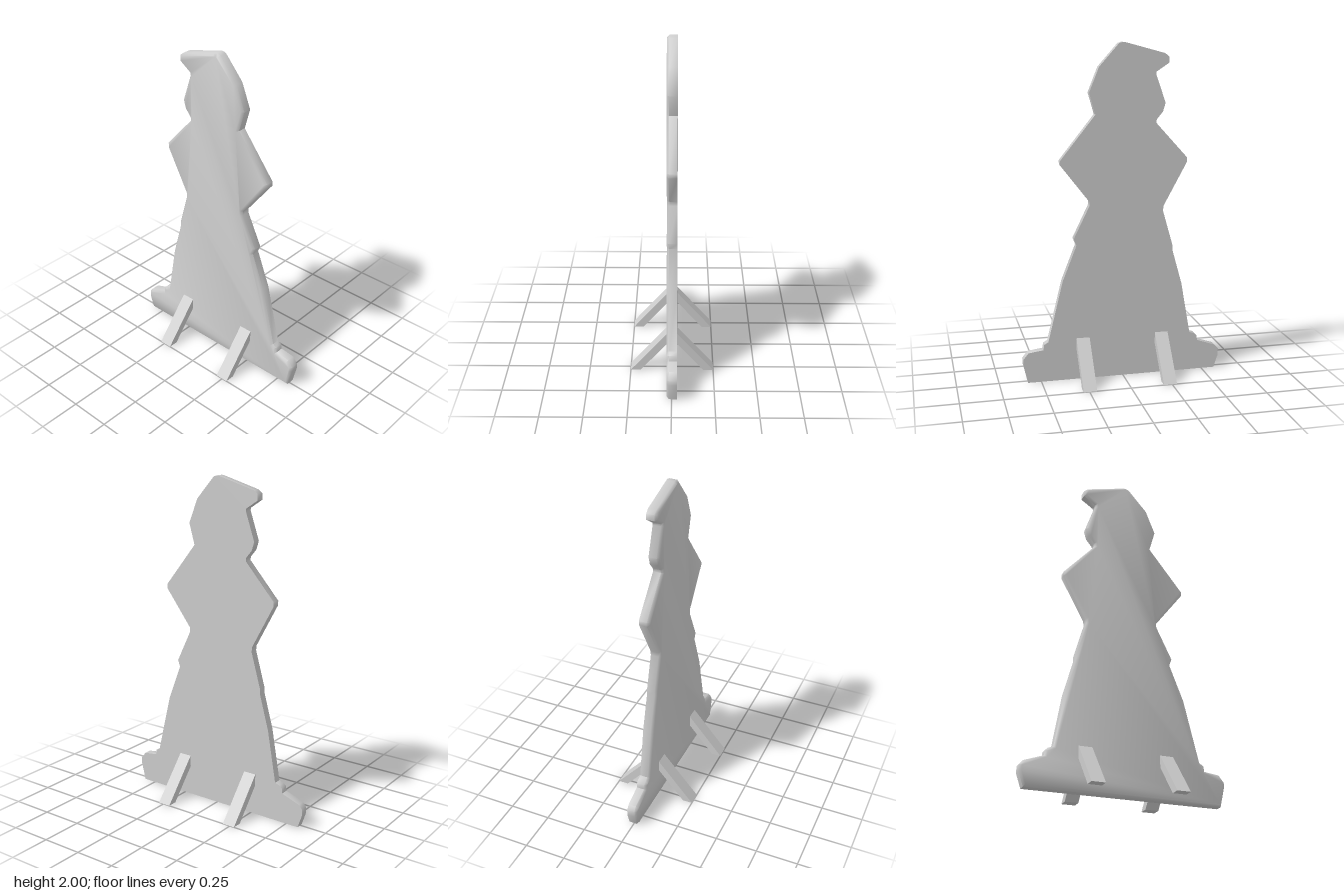
import * as THREE from 'three';
import { toCreasedNormals } from 'three/addons/utils/BufferGeometryUtils.js';

const shapeFrom = (pts) => new THREE.Shape(pts.map(([x, y]) => new THREE.Vector2(x, y)));

// Silhouette, up the right-hand side of the figure and down its left
const outline = [
  [-0.58, 0], [-0.607, 0.08], [-0.607, 0.12], [-0.585, 0.145], [-0.47, 0.185],
  [-0.467, 0.215], [-0.45, 0.23], [-0.42, 0.24], [-0.365, 0.555], [-0.305, 0.77],
  [-0.305, 0.8], [-0.245, 1.01], [-0.248, 1.04], [-0.39, 1.3], [-0.39, 1.325],
  [-0.2, 1.535], [-0.203, 1.555], [-0.24, 1.6], [-0.255, 1.65], [-0.198, 1.815],
  [-0.2, 1.83], [-0.275, 1.88], [-0.275, 1.915], [-0.25, 1.935], [-0.02, 1.997],
  [0, 2], [0.022, 1.993], [0.14, 1.86], [0.198, 1.715], [0.162, 1.59],
  [0.37, 1.33], [0.37, 1.305], [0.2, 1.085], [0.2, 1.06], [0.295, 0.865],
  [0.28, 0.825], [0.365, 0.61], [0.455, 0.245], [0.48, 0.23], [0.485, 0.197],
  [0.575, 0.185], [0.607, 0.145], [0.607, 0.115], [0.58, 0],
];

const BACK = -0.031, FRONT = 0.03, BEVEL = 0.014;

// Flat cut-out board with a bevelled front edge and a square back edge
function boardGeometry() {
  const geo = new THREE.ExtrudeGeometry(shapeFrom(outline), {
    depth: FRONT - BACK - BEVEL,
    bevelEnabled: true,
    bevelSegments: 1,
    bevelThickness: BEVEL,
    bevelSize: BEVEL,
    bevelOffset: -BEVEL,
  });
  const pos = geo.attributes.position;
  for (let i = 0; i < pos.count; i++) pos.setZ(i, Math.max(pos.getZ(i), 0) + BACK);
  geo.deleteAttribute('uv');
  geo.computeVertexNormals();
  return toCreasedNormals(geo, 0.9);
}

// Slanted strut, profile drawn in the z-y plane
function strutGeometry(width) {
  const profile = shapeFrom([[0.25, 0], [0.025, 0.263], [0.025, 0.193], [0.19, 0]]);
  const geo = new THREE.ExtrudeGeometry(profile, { depth: width, bevelEnabled: false });
  return geo.rotateY(-Math.PI / 2).translate(width / 2, 0, 0);
}

export function createModel() {
  const model = new THREE.Group();
  model.name = 'standingFigure';
  const grey = new THREE.MeshStandardMaterial({ color: 0xcccccc });
  grey.name = 'light grey';

  const board = new THREE.Mesh(boardGeometry(), grey);
  board.name = 'figureBoard';
  model.add(board);

  // Four struts: two in front, two behind
  const strut = strutGeometry(0.08);
  for (const [side, x] of [['right', -0.24], ['left', 0.245]]) {
    for (const end of ['Front', 'Back']) {
      const leg = new THREE.Mesh(strut, grey);
      leg.name = `${side}${end}Strut`;
      leg.position.x = x;
      if (end === 'Back') leg.rotation.y = Math.PI;
      model.add(leg);
    }
  }
  return model;
}
